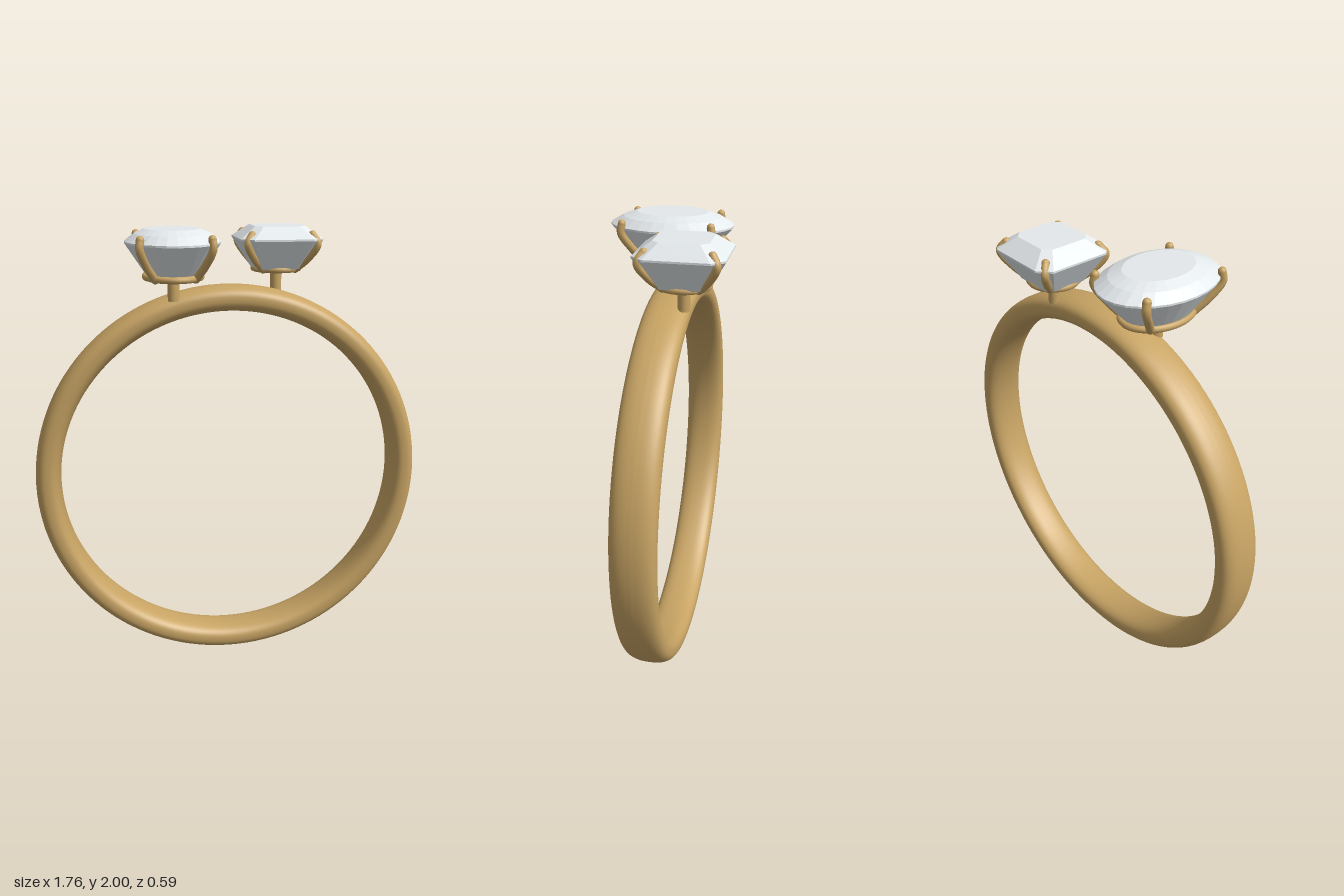
import * as THREE from 'three';
import { ConvexGeometry } from 'three/addons/geometries/ConvexGeometry.js';

const gold = new THREE.MeshStandardMaterial({ color: 0xc8a464 });
const crystal = new THREE.MeshStandardMaterial({ color: 0xe4e9ec, flatShading: true });

function add(parent, name, geometry, material) {
  const mesh = new THREE.Mesh(geometry, material);
  mesh.name = name;
  parent.add(mesh);
  return mesh;
}

// Faceted stone: one outline scaled at each [scale, height] level, closed as a convex solid
function stoneGeometry(outline, levels) {
  const points = [];
  for (const [s, y] of levels) {
    if (s === 0) points.push(new THREE.Vector3(0, y, 0));
    else for (const [x, z] of outline) points.push(new THREE.Vector3(x * s, y, z * s));
  }
  return new ConvexGeometry(points);
}

function ovalOutline(hx, hz, count) {
  return Array.from({ length: count }, (_, i) => {
    const a = (i / count) * Math.PI * 2;
    return [Math.cos(a) * hx, Math.sin(a) * hz];
  });
}

function cutCornerOutline(hx, hz, cut) {
  const points = [];
  for (const sx of [-1, 1]) for (const sz of [-1, 1]) {
    points.push([sx * hx, sz * (hz - cut)], [sx * (hx - cut), sz * hz]);
  }
  return points;
}

// Stone with its rail, four claws and post; claw points are [x, y, z] in the +x +z corner
function createSetting({ name, x, z, outline, levels, rail, railY, claw, post }) {
  const group = new THREE.Group();
  group.name = name;
  group.position.set(x, 0, z);
  add(group, 'stone', stoneGeometry(outline, levels), crystal);

  const loop = new THREE.CatmullRomCurve3(
    ovalOutline(rail[0], rail[1], 16).map(([px, pz]) => new THREE.Vector3(px, railY, pz)), true);
  add(group, 'rail', new THREE.TubeGeometry(loop, 64, 0.014, 10, true), gold);

  for (const sx of [-1, 1]) for (const sz of [-1, 1]) {
    const path = claw.map(([px, py, pz]) => new THREE.Vector3(px * sx, py, pz * sz));
    add(group, 'claw', new THREE.TubeGeometry(new THREE.CatmullRomCurve3(path), 24, 0.017, 10), gold);
    for (const end of [path[0], path[path.length - 1]]) {
      add(group, 'clawTip', new THREE.SphereGeometry(0.017, 12, 8), gold).position.copy(end);
    }
  }

  const [bottom, top] = post;
  add(group, 'post', new THREE.CylinderGeometry(0.025, 0.025, top - bottom, 24), gold)
    .position.y = (top + bottom) / 2;
  return group;
}

export function createModel() {
  const model = new THREE.Group();
  model.name = 'ring';

  // Band: softly squared oval section swept around the finger hole
  const section = [];
  const soft = (v) => Math.sign(v) * Math.pow(Math.abs(v), 0.8);
  for (let i = 0; i <= 40; i++) {
    const a = (i / 40) * Math.PI * 2;
    section.push(new THREE.Vector2(0.822 + 0.056 * soft(Math.cos(a)), 0.093 * soft(Math.sin(a))));
  }
  const band = add(model, 'band', new THREE.LatheGeometry(section, 128), gold);
  band.rotation.x = Math.PI / 2;
  band.position.set(0, 0.88, -0.047);

  model.add(createSetting({
    name: 'ovalSetting', x: -0.245, z: 0.022,
    outline: ovalOutline(0.2, 0.268, 28),
    levels: [[0, 1.78], [0.58, 1.815], [1, 1.942], [1, 1.95], [0.8, 1.981], [0.58, 2]],
    rail: [0.118, 0.16], railY: 1.805,
    claw: [[0.083, 1.803, 0.113], [0.118, 1.86, 0.155], [0.146, 1.93, 0.194], [0.143, 1.968, 0.19]],
    post: [1.7, 1.795],
  }));

  model.add(createSetting({
    name: 'squareSetting', x: 0.223, z: -0.12,
    outline: cutCornerOutline(0.178, 0.18, 0.05),
    levels: [[0, 1.79], [0.58, 1.82], [1, 1.942], [1, 1.95], [0.61, 2]],
    rail: [0.1, 0.1], railY: 1.817,
    claw: [[0.071, 1.817, 0.071], [0.115, 1.865, 0.115], [0.15, 1.93, 0.15], [0.13, 1.967, 0.13]],
    post: [1.71, 1.805],
  }));

  return model;
}
